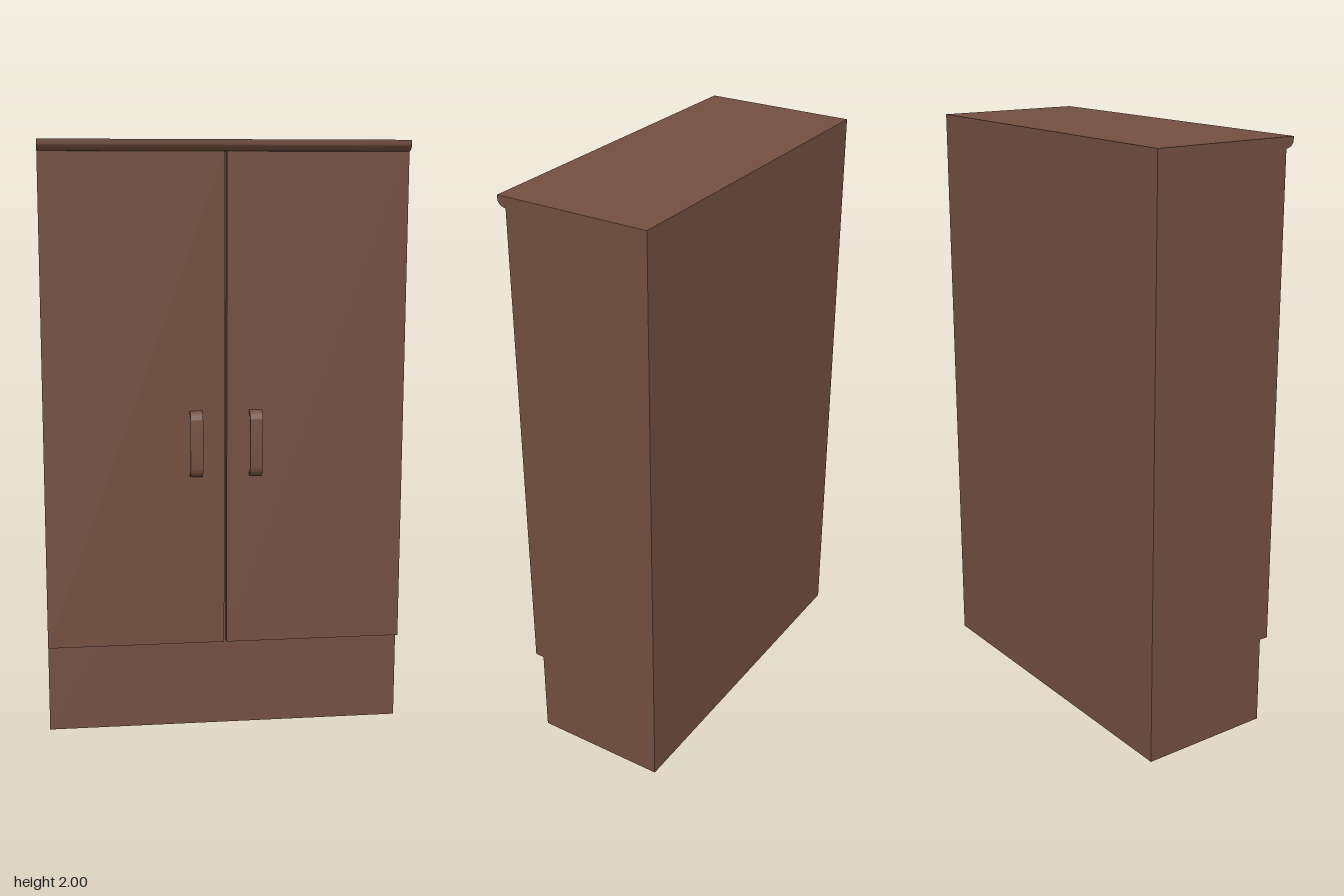
import * as THREE from 'three';
import { toCreasedNormals } from 'three/addons/utils/BufferGeometryUtils.js';

const HALF = 0.607;          // half width of the cabinet
const BACK = -0.267;         // rear plane
const FRONT = 0.2;           // carcass and plinth front
const DOOR_FRONT = 0.232;
const DOOR_BOTTOM = 0.305;
const DOOR_TOP = 1.963;

// Extrudes a (z, y) profile along x, centred on x = 0
function extrudeAlongX(shape, width) {
  const geo = new THREE.ExtrudeGeometry(shape, { depth: width, bevelEnabled: false, curveSegments: 6 });
  geo.translate(0, 0, -width / 2);
  geo.rotateY(-Math.PI / 2); // profile x becomes z
  return toCreasedNormals(geo, 0.6);
}

function handleShape() {
  const z0 = DOOR_FRONT, z1 = 0.267, y0 = 0.89, y1 = 1.115, r = 0.033, t = 0.011;
  const s = new THREE.Shape();
  s.moveTo(z0, y0);
  s.absarc(z1 - r, y0 + r, r, -Math.PI / 2, 0, false);
  s.absarc(z1 - r, y1 - r, r, 0, Math.PI / 2, false);
  s.lineTo(z0, y1);
  s.lineTo(z0, y1 - t);
  s.absarc(z1 - r, y1 - r, r - t, Math.PI / 2, 0, true);
  s.absarc(z1 - r, y0 + r, r - t, 0, -Math.PI / 2, true);
  s.lineTo(z0, y0 + t);
  s.closePath();
  return s;
}

export function createModel() {
  const group = new THREE.Group();
  const wood = new THREE.MeshStandardMaterial({ color: 0x734f40, side: THREE.DoubleSide });
  wood.name = 'brown wood';

  const add = (name, geo, x = 0, y = 0, z = 0) => {
    const mesh = new THREE.Mesh(geo, wood);
    mesh.name = name;
    mesh.position.set(x, y, z);
    group.add(mesh);
  };

  // Carcass and plinth: a thin shell, open underneath
  const shell = new THREE.BoxGeometry(HALF * 2, 2, FRONT - BACK);
  const faces = Array.from(shell.index.array);
  faces.splice(18, 6); // drop the bottom face
  shell.setIndex(faces);
  shell.clearGroups();
  add('carcass', shell, 0, 1, (FRONT + BACK) / 2);

  // Doors with a narrow gap between them, and their strap handles
  const gap = 0.004;
  const doorGeo = new THREE.BoxGeometry(HALF - gap, DOOR_TOP - DOOR_BOTTOM, DOOR_FRONT - FRONT);
  const handleGeo = extrudeAlongX(handleShape(), 0.042);
  for (const [side, s] of [['left', 1], ['right', -1]]) {
    add(side + 'Door', doorGeo, s * (HALF + gap) / 2, (DOOR_TOP + DOOR_BOTTOM) / 2, (DOOR_FRONT + FRONT) / 2);
    add(side + 'Handle', handleGeo, s * 0.1);
  }

  // Cornice along the top front edge, curving out to a small lip
  const cornice = new THREE.Shape();
  cornice.moveTo(FRONT, DOOR_TOP);
  cornice.lineTo(DOOR_FRONT, DOOR_TOP);
  cornice.quadraticCurveTo(0.258, 1.968, 0.261, 1.985);
  cornice.lineTo(0.261, 2);
  cornice.lineTo(FRONT, 2);
  cornice.closePath();
  add('cornice', extrudeAlongX(cornice, HALF * 2));

  return group;
}
